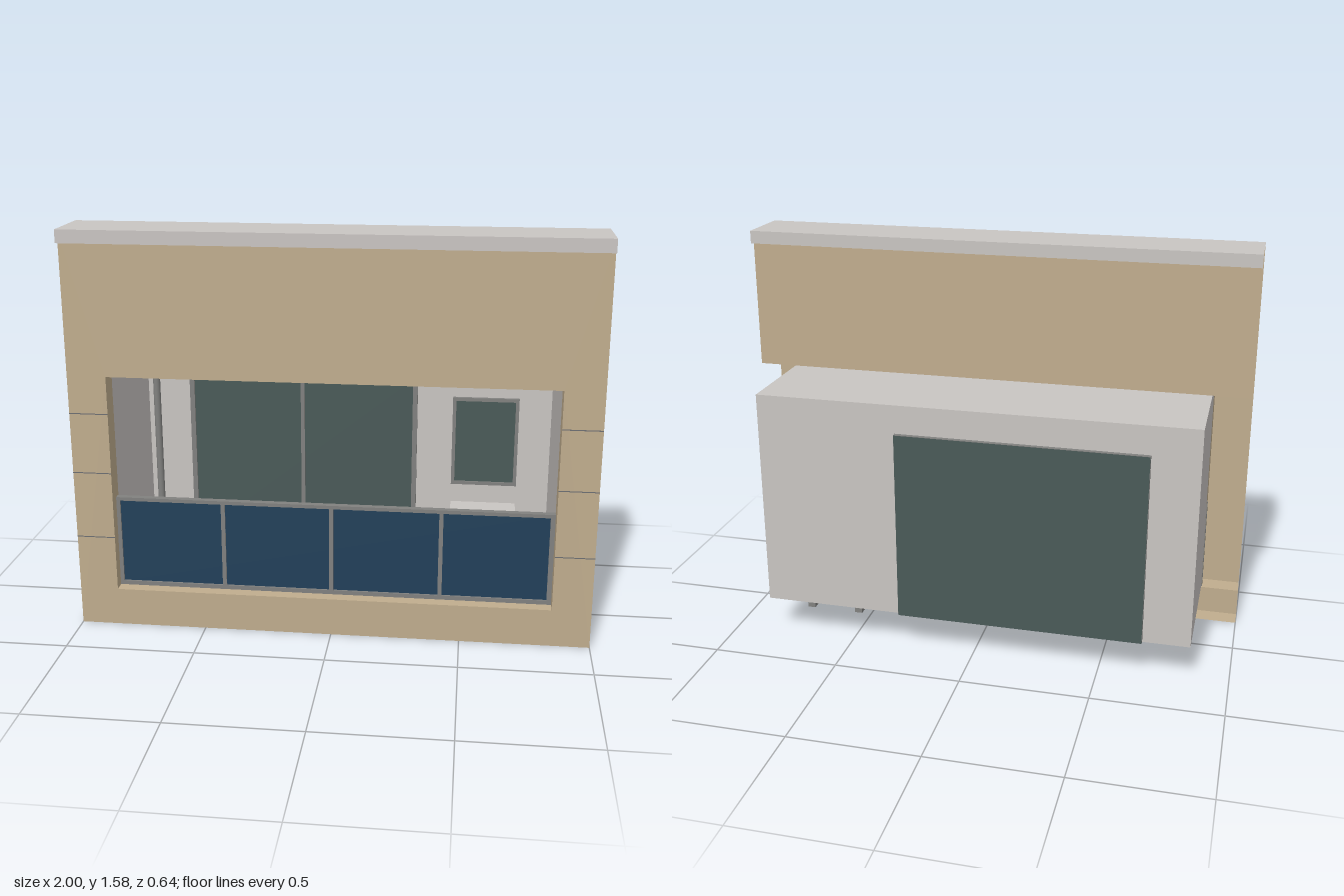
import * as THREE from 'three';

const material = (name, color) => new THREE.MeshStandardMaterial({ name, color, side: THREE.DoubleSide });

export function createModel() {
  const model = new THREE.Group();
  model.name = 'balconyFacade';
  const tan = material('tan render', 0xc0ad8e);
  const plaster = material('light grey plaster', 0xc9c5c2);
  const metal = material('grey metal', 0x81817f);
  const glass = material('green grey glass', 0x4a5a58);
  const blue = material('blue balustrade glass', 0x22405a);
  const slate = material('slate joint', 0x6d6f72);

  const add = (name, geometry, mat) => {
    const mesh = new THREE.Mesh(geometry, mat);
    mesh.name = name;
    model.add(mesh);
    return mesh;
  };
  // Solid block given by its extents
  const block = (name, mat, x0, x1, y0, y1, z0, z1) => {
    const mesh = add(name, new THREE.BoxGeometry(x1 - x0, y1 - y0, z1 - z0), mat);
    mesh.position.set((x0 + x1) / 2, (y0 + y1) / 2, (z0 + z1) / 2);
    return mesh;
  };
  // Thin sheets facing z, y and x
  const sheetZ = (name, mat, x0, x1, y0, y1, z, back = false) => {
    const mesh = add(name, new THREE.PlaneGeometry(x1 - x0, y1 - y0), mat);
    mesh.position.set((x0 + x1) / 2, (y0 + y1) / 2, z);
    if (back) mesh.rotation.y = Math.PI;
    return mesh;
  };
  const sheetY = (name, mat, x0, x1, z0, z1, y) => {
    const mesh = add(name, new THREE.PlaneGeometry(x1 - x0, z1 - z0), mat);
    mesh.position.set((x0 + x1) / 2, y, (z0 + z1) / 2);
    mesh.rotation.x = -Math.PI / 2;
    return mesh;
  };
  const sheetX = (name, mat, y0, y1, z0, z1, x) => {
    const mesh = add(name, new THREE.PlaneGeometry(z1 - z0, y1 - y0), mat);
    mesh.position.set(x, (y0 + y1) / 2, (z0 + z1) / 2);
    mesh.rotation.y = Math.PI / 2;
    return mesh;
  };

  const W = 0.85, FLOOR = 0.15, CEIL = 1.02, FRONT = 0.29, REVEAL = 0.213, BACK = -0.3;

  // Street wall with the balcony opening
  const wall = new THREE.Shape([[-1, 0], [1, 0], [1, 1.57], [-1, 1.57]].map(p => new THREE.Vector2(...p)));
  wall.holes.push(new THREE.Path([[-W, FLOOR], [-W, CEIL], [W, CEIL], [W, FLOOR]].map(p => new THREE.Vector2(...p))));
  add('streetWall', new THREE.ShapeGeometry(wall), tan).position.z = FRONT;
  sheetZ('parapetBack', tan, -1, 1, CEIL, 1.57, 0.1, true);

  // Reveals and floor edge flanges
  sheetY('sill', tan, -1, 1, REVEAL, FRONT, FLOOR);
  sheetY('bottomFlange', tan, -1, 1, REVEAL, FRONT, 0.001);
  sheetY('headReveal', tan, -W, W, REVEAL, FRONT, CEIL);
  for (const s of [-1, 1]) {
    sheetX('sideReveal', tan, FLOOR, CEIL, REVEAL, FRONT, s * W);
    sheetX('sideWall', plaster, FLOOR, CEIL, BACK, REVEAL, s * W);
    // Horizontal joints beside the opening
    for (const y of [0.37, 0.635, 0.873])
      sheetZ('wallJoint', slate, s < 0 ? -1 : W, s < 0 ? -W : 1, y - 0.002, y + 0.002, FRONT + 0.001);
  }

  // Open-ended coping
  sheetY('copingTop', plaster, -1, 1, 0.073, 0.318, 1.575);
  sheetZ('copingFront', plaster, -1, 1, 1.525, 1.575, 0.318);
  sheetZ('copingBack', plaster, -1, 1, 1.525, 1.575, 0.073, true);

  // Balcony room
  sheetZ('backWall', plaster, -W, W, FLOOR, CEIL, BACK);
  sheetY('ceiling', plaster, -W, W, BACK, REVEAL, CEIL);
  sheetY('floor', metal, -W, W, BACK, REVEAL, FLOOR);

  // Balustrade with four blue panes
  const railZ = [0.22, 0.245];
  block('railTop', metal, -0.853, 0.849, 0.508, 0.522, ...railZ);
  block('railBottom', metal, -0.853, 0.849, 0.151, 0.168, ...railZ);
  for (const [x, w] of [[-0.844, 0.018], [-0.427, 0.016], [-0.003, 0.016], [0.42, 0.016], [0.84, 0.018]])
    block('railPost', metal, x - w / 2, x + w / 2, 0.151, 0.522, ...railZ);
  block('railPanes', blue, -0.84, 0.84, 0.16, 0.515, 0.23, 0.238);

  // Sliding door
  block('doorLeaf', glass, -0.655, 0.285, 0.152, 0.895, -0.318, -0.292);
  const doorZ = [-0.3165, -0.283];
  block('doorHead', metal, -0.668, 0.297, 0.89, 0.908, ...doorZ);
  block('doorThreshold', metal, -0.668, 0.297, 0.151, 0.168, ...doorZ);
  for (const [x, w] of [[-0.658, 0.02], [-0.186, 0.016], [0.287, 0.02]])
    block('doorStile', metal, x - w / 2, x + w / 2, 0.151, 0.908, ...doorZ);
  sheetZ('doorBackGlass', glass, -0.667, 0.296, 0.151, 0.907, -0.3185, true);
  for (const x of [-0.52, 0.145]) block('doorCatch', metal, x - 0.007, x + 0.007, 0.888, 0.905, -0.285, -0.275);

  // Small side window
  block('windowPane', glass, 0.455, 0.705, 0.445, 0.805, -0.299, -0.291);
  for (const y of [0.437, 0.803]) block('windowRail', metal, 0.444, 0.717, y, y + 0.014, -0.299, -0.285);
  for (const x of [0.444, 0.703]) block('windowStile', metal, x, x + 0.014, 0.437, 0.817, -0.299, -0.285);

  // Wall lamp
  block('lampBody', metal, 0.552, 0.612, 0.892, 0.955, -0.299, -0.25);
  block('lampCap', metal, 0.545, 0.62, 0.955, 0.97, -0.299, -0.24);

  // Drainpipe in the corner
  const pipe = add('drainpipe', new THREE.CylinderGeometry(0.015, 0.015, CEIL - FLOOR, 16), metal);
  pipe.position.set(-0.81, (CEIL + FLOOR) / 2, -0.28);

  // Outdoor cooling unit on two feet
  block('coolingUnit', plaster, 0.445, 0.715, 0.152, 0.36, -0.285, -0.167);
  const grille = add('fanGrille', new THREE.CylinderGeometry(0.08, 0.08, 0.006, 24), metal);
  grille.rotation.x = Math.PI / 2;
  grille.position.set(0.545, 0.256, -0.165);
  for (const x of [0.475, 0.675]) block('unitFoot', metal, x - 0.015, x + 0.015, 0.122, 0.149, -0.285, -0.167);

  return model;
}
